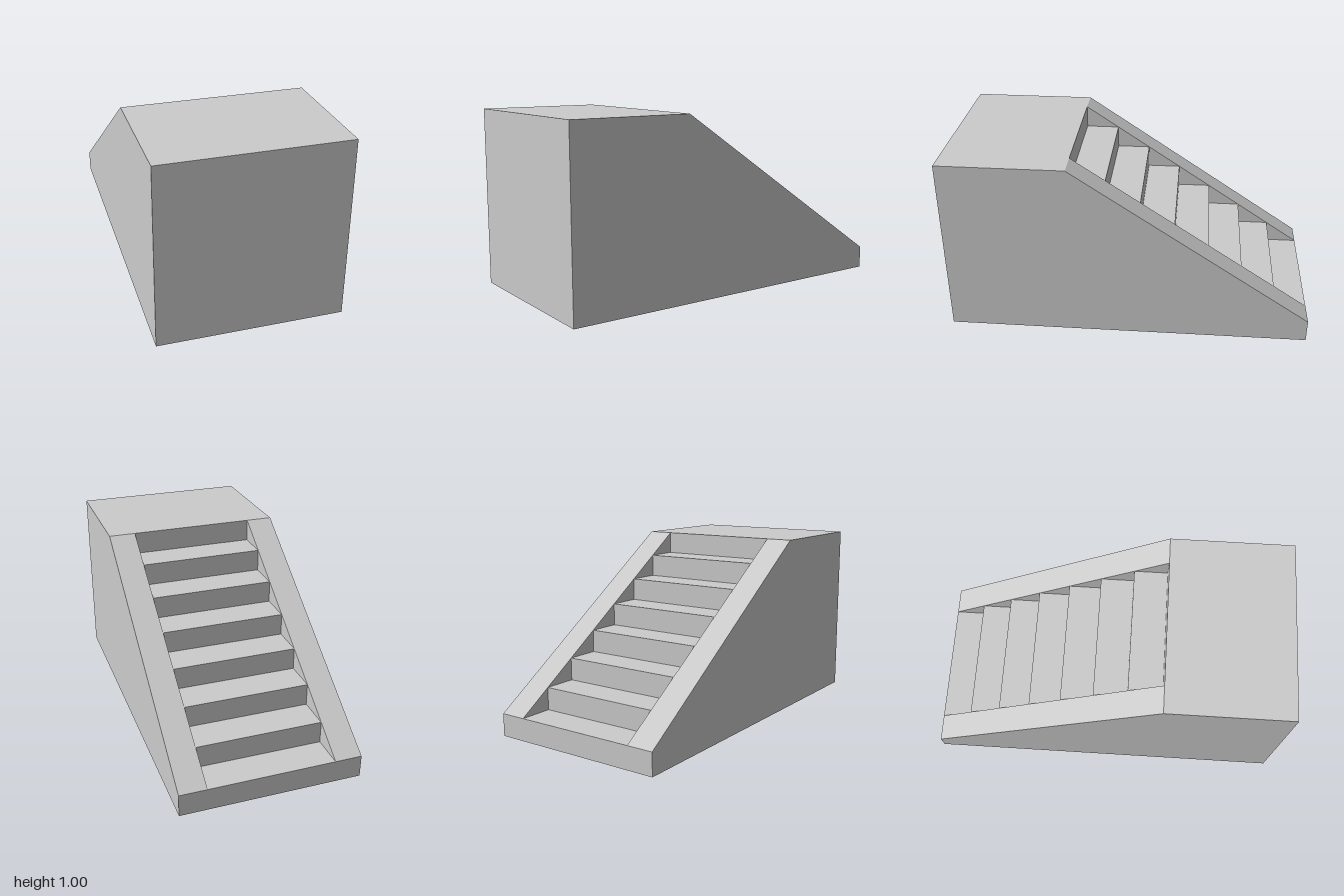
import * as THREE from 'three';

const HALF = 0.5;      // half width of the block
const INNER = 0.35;    // half width of the steps
const RISE = 0.125, RUN = 0.1875, STEPS = 7;
const TOP_Z = -1 + STEPS * RUN; // where the landing begins

const material = new THREE.MeshStandardMaterial({ color: 0xcccccc, side: THREE.DoubleSide, flatShading: true });

// Flat convex sheet from corners listed counterclockwise as seen from outside
function sheet(name, corners) {
  const index = [];
  for (let i = 1; i < corners.length - 1; i++) index.push(0, i, i + 1);
  const geometry = new THREE.BufferGeometry();
  geometry.setAttribute('position', new THREE.Float32BufferAttribute(corners.flat(), 3));
  geometry.setIndex(index);
  const flat = geometry.toNonIndexed();
  flat.computeVertexNormals();
  const mesh = new THREE.Mesh(flat, material);
  mesh.name = name;
  return mesh;
}

// Level sheet facing up
const level = (name, w, y, z0, z1) =>
  sheet(name, [[-w, y, z1], [w, y, z1], [w, y, z0], [-w, y, z0]]);

// Upright sheet facing the back
const upright = (name, w, z, y0, y1) =>
  sheet(name, [[w, y0, z], [-w, y0, z], [-w, y1, z], [w, y1, z]]);

// Sheet in a plane of constant x, corners as [z, y], facing +x or -x
function sideways(name, x, corners, facing) {
  const points = corners.map(([z, y]) => [x, y, z]);
  return sheet(name, facing > 0 ? points : points.reverse());
}

export function createModel() {
  const group = new THREE.Group();
  group.name = 'staircase';

  // Outer shell, open underneath the steps
  const front = sheet('frontWall', [[-HALF, 0, 1], [HALF, 0, 1], [HALF, 1, 1], [-HALF, 1, 1]]);
  group.add(front, level('landing', HALF, 1, TOP_Z, 1), upright('bottomRiser', HALF, -1, 0, RISE));

  // Floor plate and middle partition inside the landing block
  group.add(sheet('floorPlate', [[-HALF, 0, 0.5], [HALF, 0, 0.5], [HALF, 0, 1], [-HALF, 0, 1]]));
  group.add(sideways('partition', 0, [[1, 0], [0.5, 0], [0.5, 1], [1, 1]], 1));

  // Treads and risers
  for (let i = 0; i < STEPS; i++) {
    const z = -1 + i * RUN, y = (i + 1) * RISE;
    group.add(level('tread', INNER, y, z, z + RUN));
    group.add(upright('riser', INNER, z + RUN, y, y + RISE));
  }

  // Side walls, sloping borders and the cheeks beside each step
  for (const s of [-1, 1]) {
    const side = s > 0 ? 'left' : 'right';
    const profile = [[1, 0], [-1, 0], [-1, RISE], [TOP_Z, 1], [1, 1]];
    group.add(sideways(side + 'Wall', s * HALF, profile, s));

    const [x0, x1] = s > 0 ? [INNER, HALF] : [-HALF, -INNER];
    group.add(sheet(side + 'SlopedBorder',
      [[x0, 1, TOP_Z], [x1, 1, TOP_Z], [x1, RISE, -1], [x0, RISE, -1]]));

    for (let i = 0; i < STEPS; i++) {
      const z = -1 + i * RUN, y = (i + 1) * RISE;
      group.add(sideways(side + 'Cheek', s * INNER, [[z + RUN, y], [z, y], [z + RUN, y + RISE]], -s));
    }
  }
  return group;
}
